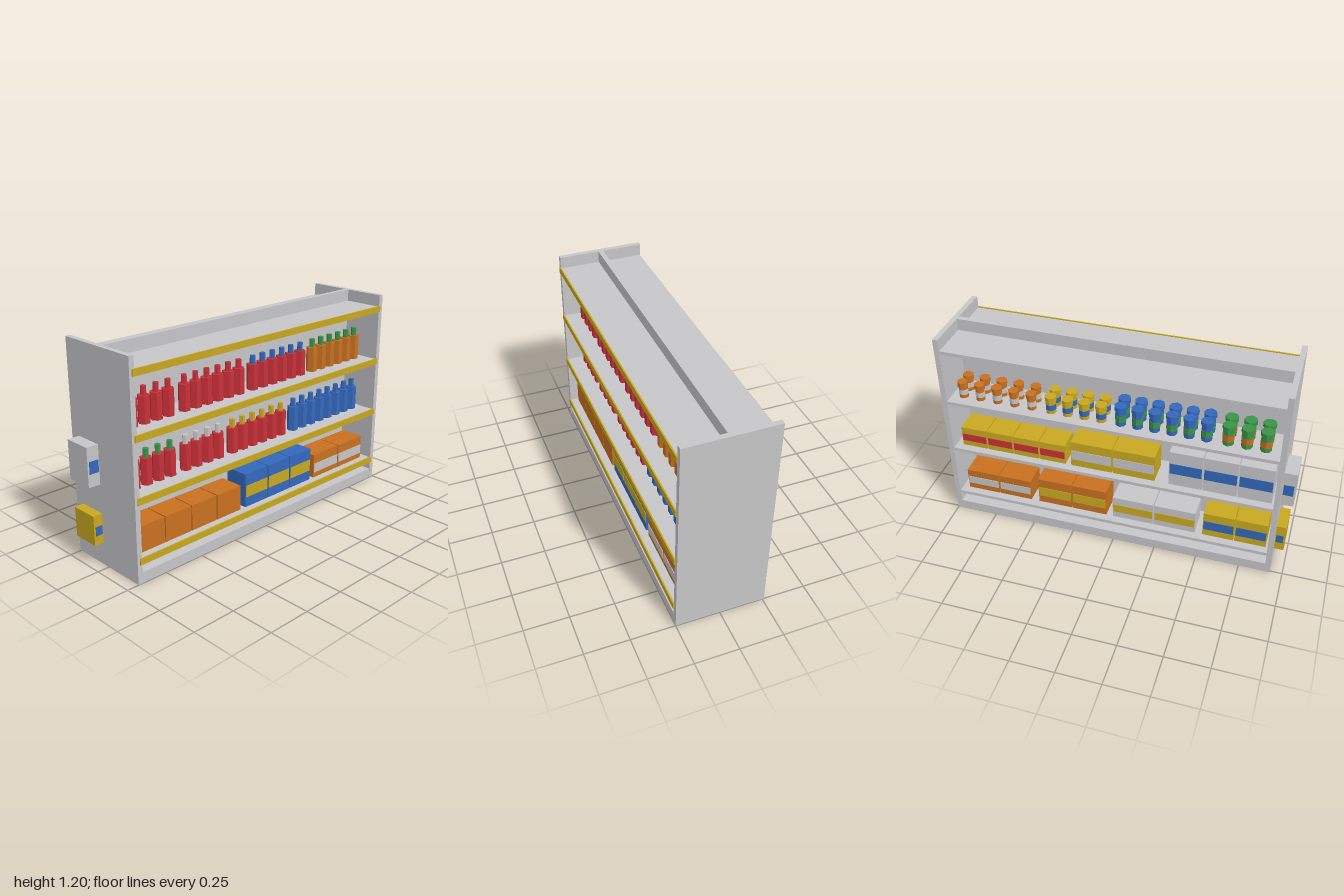
import * as THREE from 'three';

const mat = (name, color) => {
  const m = new THREE.MeshStandardMaterial({ color });
  m.name = name;
  return m;
};

export function createModel() {
  const root = new THREE.Group();
  root.name = 'storeShelf';
  const M = {
    grey: mat('lightGrey', 0xc6c6c8),
    yellow: mat('yellow', 0xc8a820),
    red: mat('red', 0xc83038),
    blue: mat('blue', 0x3368bc),
    green: mat('green', 0x3a9448),
    orange: mat('orange', 0xc87020),
  };

  const mesh = (parent, name, geo, color, x, y, z) => {
    const m = new THREE.Mesh(geo, M[color]);
    m.name = name;
    m.position.set(x, y, z);
    parent.add(m);
    return m;
  };
  // Box given by its min and max on each axis
  const box = (parent, name, color, x0, x1, y0, y1, z0, z1) =>
    mesh(parent, name, new THREE.BoxGeometry(x1 - x0, y1 - y0, z1 - z0), color,
      (x0 + x1) / 2, (y0 + y1) / 2, (z0 + z1) / 2);
  const group = (name) => {
    const g = new THREE.Group();
    g.name = name;
    root.add(g);
    return g;
  };

  // Frame: end panels, base, central divider
  const frame = group('frame');
  box(frame, 'frontPanel', 'grey', -0.26, 0.25, 0, 1.2, 0.9, 0.93);
  box(frame, 'backPanel', 'grey', -0.26, 0.25, 0, 1.2, -1, -0.97);
  box(frame, 'base', 'grey', -0.258, 0.248, 0, 0.06, -0.97, 0.9);
  box(frame, 'divider', 'grey', -0.02, 0.01, 0.06, 1.2, -0.97, 0.9);

  // Shelves on both sides, price rails on the left side only
  const SHELF = [0.14, 0.47, 0.8, 1.13];
  for (const y of SHELF) {
    box(frame, 'shelfRight', 'grey', -0.256, -0.02, y - 0.02, y, -0.97, 0.9);
    box(frame, 'shelfLeft', 'grey', 0.01, 0.248, y - 0.02, y, -0.97, 0.9);
    box(frame, 'priceRail', 'yellow', 0.248, 0.256, y - 0.032, y + 0.005, -0.975, 0.915);
  }

  const LEFT = 0.128, RIGHT = -0.138; // shelf centre lines

  // Row of cartons with a label band showing on both x faces
  const cartons = (x, y, z0, z1, n, h, color, label, b0 = 0.28, b1 = 0.65) => {
    const g = group('cartons');
    const pitch = (z1 - z0 + 0.006) / n;
    for (let i = 0; i < n; i++) {
      const a = z0 + i * pitch, b = a + pitch - 0.006;
      box(g, 'carton', color, x - 0.0725, x + 0.0725, y, y + h, a, b);
      if (label) {
        for (const s of [-1, 1]) {
          const f = x + s * 0.0735;
          box(g, 'cartonLabel', label, f - 0.002, f + 0.002, y + h * b0, y + h * b1, a + 0.004, b - 0.004);
        }
      }
    }
  };

  // Left side, bottom shelf
  cartons(LEFT, 0.14, 0.16, 0.885, 4, 0.147, 'orange');
  cartons(LEFT, 0.14, -0.43, 0.12, 3, 0.2, 'blue', 'yellow', 0.3, 0.65);
  cartons(LEFT, 0.14, -0.925, -0.465, 2, 0.147, 'orange', 'grey', 0.22, 0.61);
  // Right side, bottom shelf
  cartons(RIGHT, 0.14, -0.93, -0.525, 2, 0.135, 'orange', 'grey');
  cartons(RIGHT, 0.14, -0.475, -0.055, 2, 0.17, 'orange', 'yellow');
  cartons(RIGHT, 0.14, -0.015, 0.475, 2, 0.143, 'grey', 'yellow');
  cartons(RIGHT, 0.14, 0.52, 0.885, 2, 0.16, 'yellow', 'blue');
  // Right side, middle shelf
  cartons(RIGHT, 0.47, -0.93, -0.295, 4, 0.125, 'yellow', 'red');
  cartons(RIGHT, 0.47, -0.26, 0.23, 2, 0.165, 'yellow', 'grey');
  cartons(RIGHT, 0.47, 0.31, 0.885, 3, 0.225, 'grey', 'blue', 0.35, 0.65);

  // Six-sided bottles with a narrow cap
  const bodyGeo = new THREE.CylinderGeometry(0.033, 0.033, 0.146, 6).toNonIndexed();
  const capGeo = new THREE.CylinderGeometry(0.016, 0.016, 0.048, 6).toNonIndexed();
  bodyGeo.computeVertexNormals();
  capGeo.computeVertexNormals();
  const bottles = (y, z0, n, color, cap) => {
    const g = group('bottles');
    for (let i = 0; i < n; i++) {
      const z = z0 - i * 0.078;
      mesh(g, 'bottleBody', bodyGeo, color, LEFT, y + 0.073, z);
      mesh(g, 'bottleCap', capGeo, cap, LEFT, y + 0.17, z);
    }
  };
  bottles(0.8, 0.836, 4, 'red', 'red');
  bottles(0.8, 0.495, 6, 'red', 'red');
  bottles(0.8, -0.003, 6, 'red', 'blue');
  bottles(0.8, -0.5, 6, 'orange', 'green');
  bottles(0.47, 0.836, 4, 'red', 'green');
  bottles(0.47, 0.495, 4, 'red', 'grey');
  bottles(0.47, 0.154, 6, 'red', 'yellow');
  bottles(0.47, -0.344, 8, 'blue', 'blue');

  // Jars, two deep, with a label band and a wider lid
  const cyl = (r, h) => {
    const c = new THREE.CylinderGeometry(r, r, h, 8).toNonIndexed();
    c.computeVertexNormals();
    return c;
  };
  const jars = (z0, z1, n, r, h, color, label) => {
    const g = group('jars');
    const body = cyl(r * 0.86, h - 0.025), band = cyl(r * 0.9, h * 0.32), lid = cyl(r, 0.026);
    for (let i = 0; i < n; i++) {
      const z = z0 + (z1 - z0) * i / (n - 1);
      for (const x of [RIGHT - 0.038, RIGHT + 0.038]) {
        mesh(g, 'jarBody', body, color, x, 0.8 + (h - 0.025) / 2, z);
        mesh(g, 'jarLabel', band, label, x, 0.8 + h * 0.38, z);
        mesh(g, 'jarLid', lid, color, x, 0.8 + h - 0.013, z);
      }
    }
  };
  jars(-0.9, -0.49, 5, 0.031, 0.1, 'orange', 'grey');
  jars(-0.375, -0.085, 4, 0.034, 0.105, 'yellow', 'blue');
  jars(0.025, 0.5, 6, 0.035, 0.122, 'blue', 'green');
  jars(0.615, 0.815, 3, 0.036, 0.12, 'green', 'orange');

  // Two cartons fixed to the front panel, with labels on their sides
  const display = group('frontCartons');
  box(display, 'upperCarton', 'grey', -0.197, -0.034, 0.465, 0.685, 0.93, 1);
  box(display, 'lowerCarton', 'yellow', -0.197, -0.034, 0.132, 0.3, 0.93, 0.985);
  for (const x of [-0.198, -0.033]) {
    box(display, 'upperLabel', 'blue', x - 0.002, x + 0.002, 0.537, 0.605, 0.935, 0.99);
    box(display, 'lowerLabel', 'blue', x - 0.002, x + 0.002, 0.185, 0.236, 0.935, 0.975);
  }
  return root;
}
